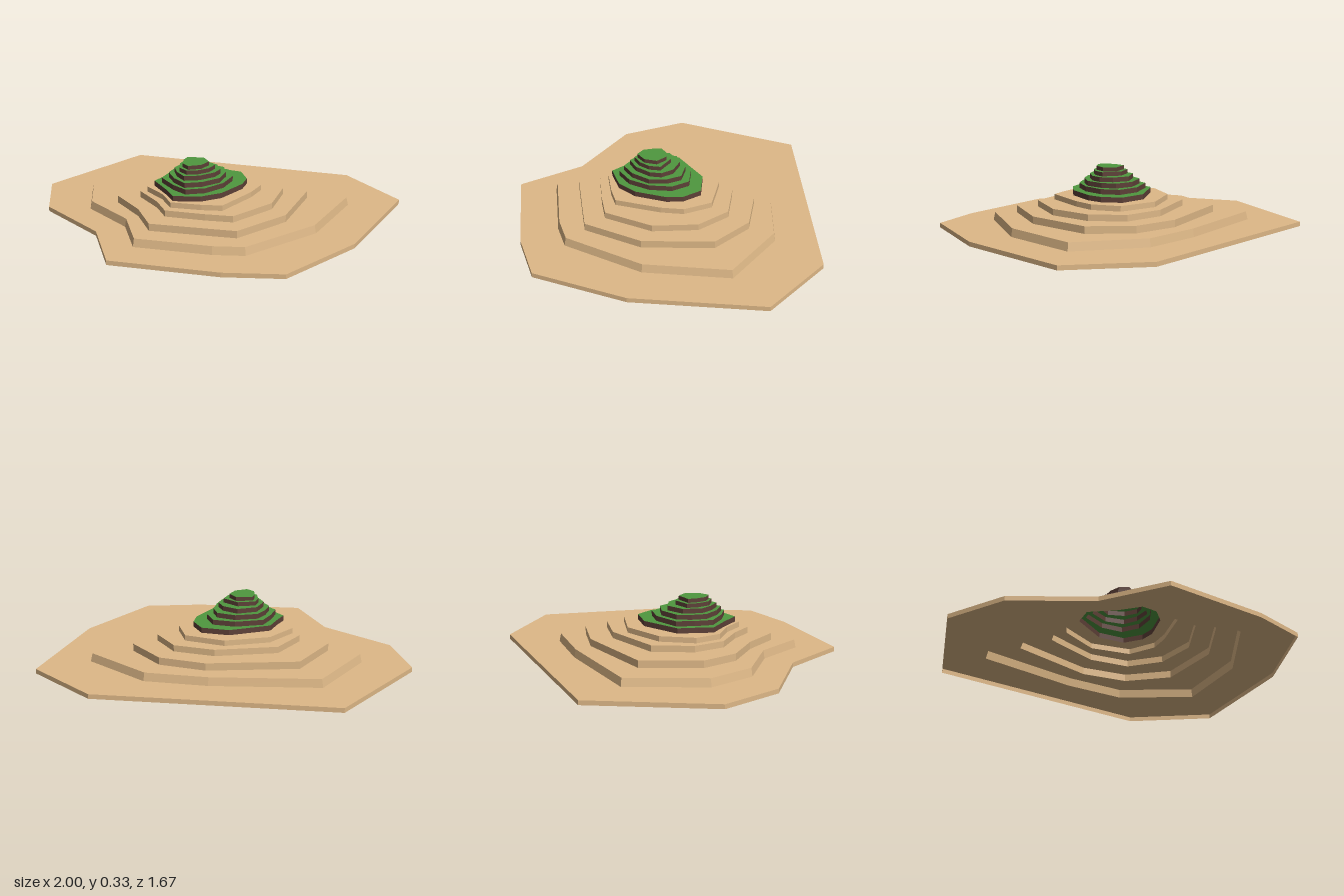
import * as THREE from 'three';

const paint = (color) => new THREE.MeshStandardMaterial({ color, flatShading: true, side: THREE.DoubleSide });
const sand = paint(0xdeb887), grass = paint(0x4f983f), rock = paint(0x5d4037);

// Terrace outlines, as [x, z] corners running clockwise seen from above
const sandOutlines = [
  [[-0.62, -0.84], [0.67, -0.71], [1, -0.355], [0.815, 0.34], [0.52, 0.795], [0.2, 0.835], [-0.395, 0.795], [-0.55, 0.43], [-0.905, 0.125], [-1, -0.235]],
  [[-0.52, -0.565], [0.07, -0.565], [0.41, -0.51], [0.725, -0.22], [0.6, 0.235], [0.285, 0.605], [0.115, 0.625], [-0.305, 0.6], [-0.415, 0.335], [-0.67, 0.11], [-0.735, -0.165]],
  [[-0.4, -0.41], [0.09, -0.46], [0.34, -0.38], [0.5, -0.165], [0.435, 0.215], [0.22, 0.49], [0.05, 0.485], [-0.25, 0.475], [-0.355, 0.28], [-0.515, 0.1], [-0.555, -0.11]],
  [[-0.285, -0.28], [0.05, -0.345], [0.27, -0.28], [0.375, -0.1], [0.35, 0.145], [0.18, 0.375], [0.03, 0.375], [-0.19, 0.36], [-0.26, 0.24], [-0.385, 0.1], [-0.4, -0.08]],
  [[-0.24, -0.21], [0, -0.28], [0.215, -0.2], [0.26, -0.04], [0.225, 0.08], [0.11, 0.31], [0, 0.32], [-0.17, 0.315], [-0.24, 0.2], [-0.345, 0.1], [-0.36, -0.05]],
];
const hillOutlines = [
  [[-0.24, -0.1], [-0.02, -0.19], [0.13, -0.155], [0.18, -0.05], [0.17, 0.04], [0.085, 0.2], [-0.015, 0.275], [-0.16, 0.295], [-0.22, 0.2], [-0.31, 0.08], [-0.275, 0]],
  [[-0.2, -0.09], [-0.05, -0.13], [0.07, -0.1], [0.11, 0], [0.08, 0.12], [0, 0.22], [-0.1, 0.26], [-0.18, 0.2], [-0.265, 0.1], [-0.24, 0]],
  [[-0.17, -0.07], [-0.05, -0.1], [0.05, -0.06], [0.075, 0.02], [0.06, 0.12], [-0.02, 0.2], [-0.11, 0.235], [-0.18, 0.17], [-0.23, 0.08], [-0.21, 0]],
  [[-0.165, -0.03], [-0.06, -0.07], [0.02, -0.02], [0.05, 0.05], [0.03, 0.11], [-0.04, 0.175], [-0.12, 0.2], [-0.17, 0.14], [-0.2, 0.07]],
  [[-0.155, 0], [-0.06, -0.02], [0.02, 0.05], [0, 0.11], [-0.05, 0.155], [-0.11, 0.175], [-0.16, 0.13], [-0.17, 0.06]],
  [[-0.14, 0.015], [-0.05, 0.005], [-0.01, 0.065], [-0.04, 0.13], [-0.105, 0.16], [-0.145, 0.12], [-0.15, 0.06]],
];

// Upright band from one height to the next, drawn in a little at the top
function riser(outline, y0, y1, taper) {
  const p = [];
  outline.forEach(([ax, az], i) => {
    const [bx, bz] = outline[(i + 1) % outline.length];
    const a0 = [ax, y0, az], b0 = [bx, y0, bz];
    const a1 = [ax * taper, y1, az * taper], b1 = [bx * taper, y1, bz * taper];
    p.push(...b0, ...a0, ...a1, ...b0, ...a1, ...b1);
  });
  const g = new THREE.BufferGeometry();
  g.setAttribute('position', new THREE.Float32BufferAttribute(p, 3));
  g.computeVertexNormals();
  return g;
}

// Level step, cut away beneath the terrace above it
function tread(outline, inner, y, taper) {
  const points = (o, s) => o.map(([x, z]) => new THREE.Vector2(x * s, -z * s));
  const shape = new THREE.Shape(points(outline, taper));
  if (inner) shape.holes.push(new THREE.Path(points(inner, 1)));
  return new THREE.ShapeGeometry(shape).rotateX(-Math.PI / 2).translate(0, y, 0);
}

// Hollow stepped mound, open underneath
function terraces(name, outlines, heights, tapers, wallMaterial, topMaterial, above) {
  const group = new THREE.Group();
  group.name = name;
  outlines.forEach((outline, i) => {
    const taper = tapers[i] ?? 1;
    const wall = new THREE.Mesh(riser(outline, heights[i], heights[i + 1], taper), wallMaterial);
    const top = new THREE.Mesh(tread(outline, outlines[i + 1] ?? above, heights[i + 1], taper), topMaterial);
    wall.name = `${name}Riser${i + 1}`;
    top.name = `${name}Tread${i + 1}`;
    group.add(wall, top);
  });
  return group;
}

export function createModel() {
  const model = new THREE.Group();
  model.name = 'terracedIsland';
  model.add(
    terraces('beach', sandOutlines, [0, 0.025, 0.07, 0.11, 0.145, 0.175], [1, 0.987], sand, sand, hillOutlines[0]),
    terraces('hill', hillOutlines, [0.175, 0.204, 0.232, 0.259, 0.285, 0.308, 0.33], [], rock, grass, null),
  );
  return model;
}
